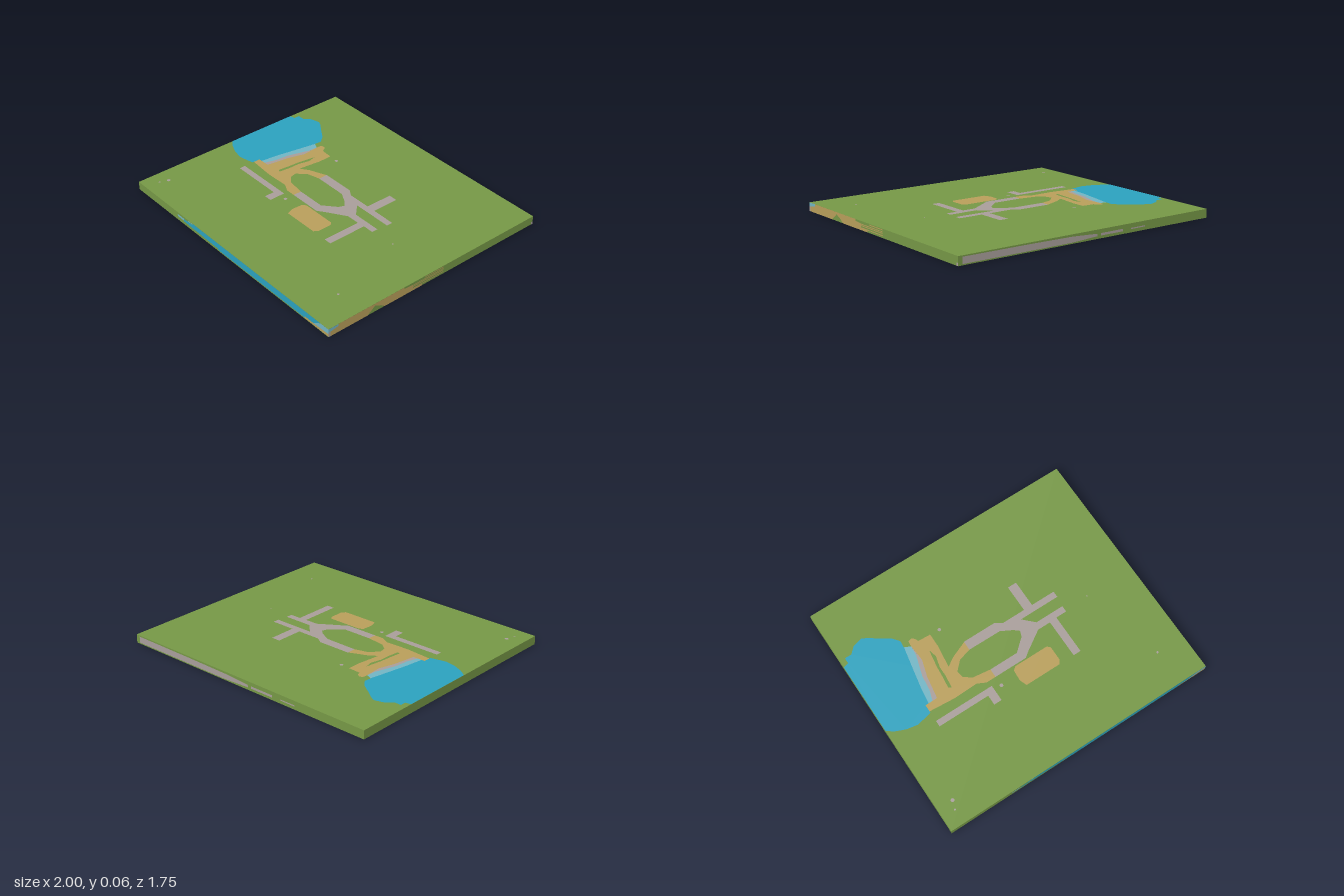
import * as THREE from 'three';

const W = 2, H = 0.06, D = 1.75, LIFT = 0.001;

const mat = (name, color) => {
  const m = new THREE.MeshStandardMaterial({ color });
  m.name = name;
  return m;
};

export function createModel() {
  const group = new THREE.Group();
  const green = mat('grass green', 0x769846);
  const blue = mat('water blue', 0x2ba2bf);
  const shallow = mat('shallow blue', 0x72b5c4);
  const sand = mat('sand', 0xb99f5b);
  const grey = mat('path grey', 0xa99e9b);

  // Ground slab
  const slab = new THREE.Mesh(new THREE.BoxGeometry(W, H, D), green);
  slab.name = 'groundSlab';
  slab.position.y = H / 2;
  group.add(slab);

  // Each face: two in-plane coordinates -> shape axes, then a turn and an offset
  const faces = {
    top: { sx: 1, sy: -1, rot: [-Math.PI / 2, 0, 0], pos: [0, H + LIFT, 0] },
    bottom: { sx: 1, sy: 1, rot: [Math.PI / 2, 0, 0], pos: [0, -LIFT, 0] },
    front: { sx: 1, sy: 1, rot: [0, 0, 0], pos: [0, 0, D / 2 + LIFT] },
    right: { sx: -1, sy: 1, rot: [0, Math.PI / 2, 0], pos: [W / 2 + LIFT, 0, 0] },
    back: { sx: -1, sy: 1, rot: [0, Math.PI, 0], pos: [0, 0, -D / 2 - LIFT] },
  };
  function patch(face, name, material, points, holes = []) {
    const f = faces[face];
    const toVec = ([a, b]) => new THREE.Vector2(a * f.sx, b * f.sy);
    const shape = new THREE.Shape(points.map(toVec));
    holes.forEach((h) => shape.holes.push(new THREE.Path(h.map(toVec))));
    const mesh = new THREE.Mesh(new THREE.ShapeGeometry(shape), material);
    mesh.name = name;
    mesh.rotation.set(...f.rot);
    mesh.position.set(...f.pos);
    group.add(mesh);
  }
  const rect = (a0, b0, a1, b1) => [[a0, b0], [a1, b0], [a1, b1], [a0, b1]];
  const dot = (a, b, r) => Array.from({ length: 8 }, (_, i) =>
    [a + r * Math.cos(i * Math.PI / 4), b + r * Math.sin(i * Math.PI / 4)]);

  // Lake with its shallow edge
  patch('top', 'lake', blue, [
    [-1, -0.44], [-0.96, -0.45], [-0.96, -0.49], [-0.91, -0.49], [-0.87, -0.53], [-0.8, -0.55],
    [-0.76, -0.53], [-0.72, -0.5], [-0.63, -0.44], [-0.59, -0.39], [-0.595, -0.33], [-0.62, -0.2],
    [-0.65, -0.04], [-0.665, 0.08], [-0.69, 0.08], [-0.69, 0.14], [-0.73, 0.15], [-0.8, 0.165],
    [-0.88, 0.15], [-0.95, 0.12], [-1, 0.085]]);
  patch('top', 'shallowWater', shallow, [
    [-0.595, -0.34], [-0.55, -0.32], [-0.555, -0.25], [-0.6, -0.1], [-0.61, 0], [-0.635, 0.08],
    [-0.665, 0.08], [-0.65, -0.04], [-0.62, -0.2]]);
  patch('top', 'shorePath', grey, [
    [-0.55, -0.32], [-0.54, -0.2], [-0.575, -0.08], [-0.6, 0.08], [-0.635, 0.08], [-0.61, 0],
    [-0.6, -0.1], [-0.555, -0.25]]);

  // Beach, with a strip of grass inside
  patch('top', 'beach', sand, [
    [-0.55, -0.33], [-0.545, -0.36], [-0.52, -0.365], [-0.5, -0.35], [-0.49, -0.325], [-0.4, -0.32],
    [-0.4, -0.22], [-0.42, -0.06], [-0.36, -0.1], [-0.24, -0.15], [-0.24, -0.085], [-0.33, -0.06],
    [-0.39, 0], [-0.38, 0.05], [-0.33, 0.09], [-0.2, 0.108], [-0.2, 0.17], [-0.27, 0.17],
    [-0.33, 0.14], [-0.5, 0.145], [-0.69, 0.13], [-0.69, 0.08], [-0.6, 0.08], [-0.575, -0.08],
    [-0.54, -0.2]],
  [[[-0.465, -0.23], [-0.45, -0.17], [-0.47, -0.09], [-0.47, -0.02], [-0.48, 0.07],
    [-0.5, 0.06], [-0.49, -0.03], [-0.485, -0.1]]]);
  patch('top', 'sandPatch', sand, [
    [-0.05, 0.18], [0.2, 0.18], [0.22, 0.2], [0.22, 0.3], [0.2, 0.33], [-0.06, 0.33],
    [-0.08, 0.28], [-0.075, 0.2]]);

  // Paths
  patch('top', 'loopPath', grey, [
    [-0.24, -0.152], [0, -0.152], [0.05, -0.12], [0.22, -0.12], [0.22, -0.315], [0.285, -0.315],
    [0.285, -0.12], [0.46, -0.12], [0.46, -0.075], [0.165, -0.075], [0.24, 0], [0.45, 0],
    [0.45, 0.045], [0.37, 0.045], [0.37, 0.33], [0.315, 0.33], [0.315, 0.05], [0.22, 0.05],
    [0.08, 0.14], [0.04, 0.17], [-0.2, 0.17], [-0.2, 0.108], [0.01, 0.108], [0.1, 0.03],
    [0.115, -0.01], [0.08, -0.04], [0, -0.083], [-0.24, -0.085]]);
  patch('top', 'cornerPath', grey, [
    [-0.69, 0.208], [-0.255, 0.208], [-0.255, 0.325], [-0.312, 0.325], [-0.312, 0.252], [-0.69, 0.252]]);
  [[-0.33, -0.315, 0.012], [-0.2, 0.24, 0.013], [-0.885, 0.71, 0.013], [-0.905, 0.77, 0.007],
    [0.79, 0.62, 0.008], [0.63, 0.03, 0.005]].forEach(([x, z, r]) => patch('top', 'stone', grey, dot(x, z, r)));

  // Front edge
  patch('front', 'frontWater', blue, [
    [-0.47, 0.025], [-0.1, 0.018], [-0.08, 0.009], [0.78, 0.009], [0.78, 0.02], [0.86, 0.02],
    [0.9, 0.045], [0.93, 0.06], [-0.37, 0.06], [-0.37, 0.048], [-0.47, 0.044]]);
  patch('front', 'frontShallow', shallow, [[0.86, 0.02], [1, 0.025], [1, 0.06], [0.93, 0.06], [0.9, 0.045]]);
  patch('front', 'frontShallow', shallow, rect(-0.54, 0.03, -0.47, 0.046));
  patch('front', 'frontShallow', shallow, rect(-0.42, 0.05, -0.37, 0.057));
  patch('front', 'frontSand', sand, [[0.78, 0.006], [1, 0.004], [1, 0.025], [0.86, 0.02], [0.78, 0.02]]);

  // Right edge
  patch('right', 'rightSand', sand, [
    [0.86, 0], [0.86, 0.035], [0.8, 0.045], [0.8, 0.06], [0.27, 0.06], [0.27, 0.048], [0.2, 0.044],
    [0.2, 0.014], [0.12, 0.012], [0.12, 0], [0.43, 0], [0.46, 0.022], [0.51, 0.045],
    [0.54, 0.022], [0.57, 0]]);
  [[0.1, 0.053], [0.2, 0.04], [0.2, 0.03], [0.2, 0.016]].forEach(([z, y]) =>
    patch('right', 'rightSandStreak', sand, rect(-0.06, y - 0.003, z, y + 0.003)));
  patch('right', 'rightWater', shallow, [[0.875, 0.035], [0.86, 0.035], [0.8, 0.045], [0.8, 0.06], [0.875, 0.06]]);
  patch('right', 'rightPath', grey, rect(0.86, 0, 0.875, 0.035));
  patch('right', 'rightPath', grey, rect(-0.875, 0, -0.86, 0.02));

  // Back edge
  patch('back', 'backPath', grey, [
    [0.97, 0.008], [0.97, 0.052], [0.5, 0.05], [0.15, 0.046], [-0.05, 0.034], [-0.05, 0.018], [0.15, 0.008]]);
  patch('back', 'backPath', grey, rect(-0.26, 0.018, -0.08, 0.034));
  patch('back', 'backPath', grey, rect(-0.45, 0.022, -0.33, 0.03));

  // Underside
  patch('bottom', 'undersideSand', sand, [[1, -0.875], [0.46, -0.875], [0.46, -0.71], [0.52, -0.65], [1, -0.625]]);
  patch('bottom', 'undersidePath', grey, [
    [1, -0.187], [0.55, -0.165], [0.5, -0.13], [0.46, 0], [0.82, 0.015], [0.81, 0.875], [1, 0.875]]);
  patch('bottom', 'undersideStone', grey, [
    [0.95, -0.375], [0.86, -0.36], [0.79, -0.31], [0.81, -0.235], [0.9, -0.27], [0.97, -0.3]]);

  return group;
}
